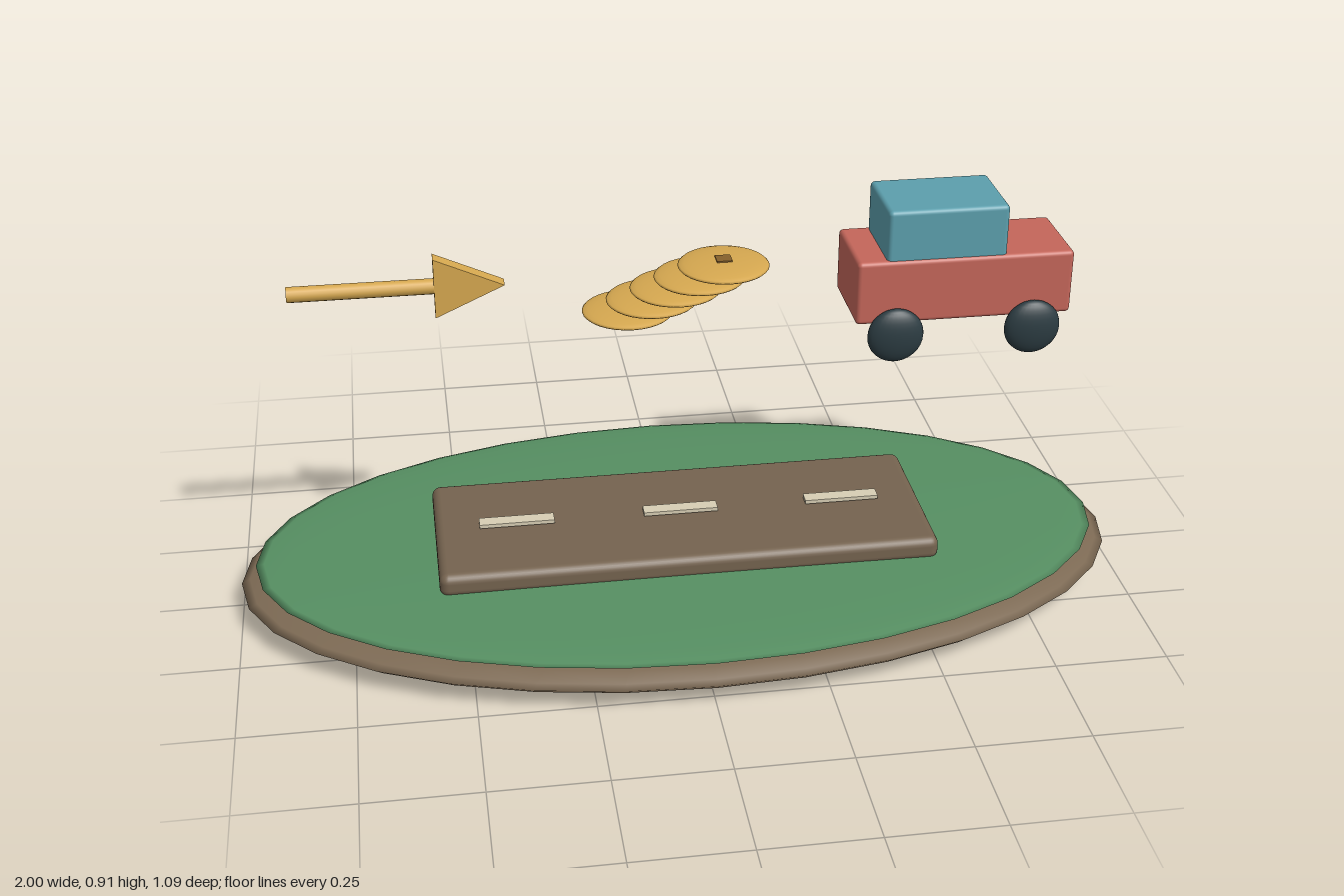
import * as THREE from 'three';
import { RoundedBoxGeometry } from 'three/addons/geometries/RoundedBoxGeometry.js';

const mat = (color) => new THREE.MeshStandardMaterial({ color });
const earth = mat(0x7d6a54), grass = mat(0x568f62), road = mat(0x75634f), paint = mat(0xd8ceb4);
const gold = mat(0xd6a850), darkGold = mat(0x85602c), red = mat(0xc4665a), teal = mat(0x5c9fad), rubber = mat(0x2c3c42);

function add(parent, name, geometry, material, x, y, z) {
  const mesh = new THREE.Mesh(geometry, material);
  mesh.name = name;
  mesh.position.set(x, y, z);
  parent.add(mesh);
  return mesh;
}

function group(parent, name) {
  const g = new THREE.Group();
  g.name = name;
  parent.add(g);
  return g;
}

// Flattened ball given by its three half-sizes
const ellipsoid = (rx, ry, rz, ws = 32, hs = 16) => new THREE.SphereGeometry(1, ws, hs).scale(rx, ry, rz);

export function createModel() {
  const model = new THREE.Group();

  // Lens-shaped island with a grass layer
  const island = group(model, 'island');
  add(island, 'earth', ellipsoid(1, 0.057, 0.545), earth, 0, 0.059, 0);
  add(island, 'grass', ellipsoid(0.965, 0.018, 0.525), grass, 0, 0.103, 0);

  // Road slab with dashes
  add(island, 'road', new RoundedBoxGeometry(1.12, 0.056, 0.41, 3, 0.02), road, 0, 0.134, 0);
  for (const x of [-0.375, 0, 0.375]) {
    add(island, 'roadDash', new THREE.BoxGeometry(0.17, 0.009, 0.032), paint, x, 0.17, 0);
  }

  // Arrow pointing to +x: round shaft and flat triangular head
  const arrow = group(model, 'arrow');
  add(arrow, 'arrowShaft', new THREE.CylinderGeometry(0.017, 0.017, 0.31, 16).rotateZ(Math.PI / 2), gold, -0.685, 0.766, 0);
  const tri = new THREE.Shape([[0, -0.068], [0.15, 0], [0, 0.068]].map((p) => new THREE.Vector2(...p)));
  const head = new THREE.ExtrudeGeometry(tri, { depth: 0.034, bevelEnabled: false }).translate(0, 0, -0.017);
  add(arrow, 'arrowHead', head, gold, -0.53, 0.766, 0);

  // Leaning row of coins, the top one with a square mark
  const coins = group(model, 'coins');
  for (let i = 0; i < 5; i++) {
    add(coins, 'coin', ellipsoid(0.1, 0.013, 0.1, 32, 12), gold, -0.115 + i * 0.0525, 0.682 + i * 0.0233, 0);
  }
  add(coins, 'coinMark', new THREE.BoxGeometry(0.034, 0.012, 0.034), darkGold, 0.095, 0.785, 0);

  // Car
  const car = group(model, 'car');
  add(car, 'body', new RoundedBoxGeometry(0.48, 0.146, 0.2, 3, 0.01), red, 0.61, 0.729, 0);
  add(car, 'cabin', new RoundedBoxGeometry(0.265, 0.125, 0.188, 3, 0.01), teal, 0.5675, 0.852, 0);
  for (const x of [0.457, 0.763]) {
    for (const side of [-1, 1]) {
      add(car, 'wheel', ellipsoid(0.0625, 0.0625, 0.025, 24, 16), rubber, x, 0.632, side * 0.108);
    }
  }
  return model;
}
